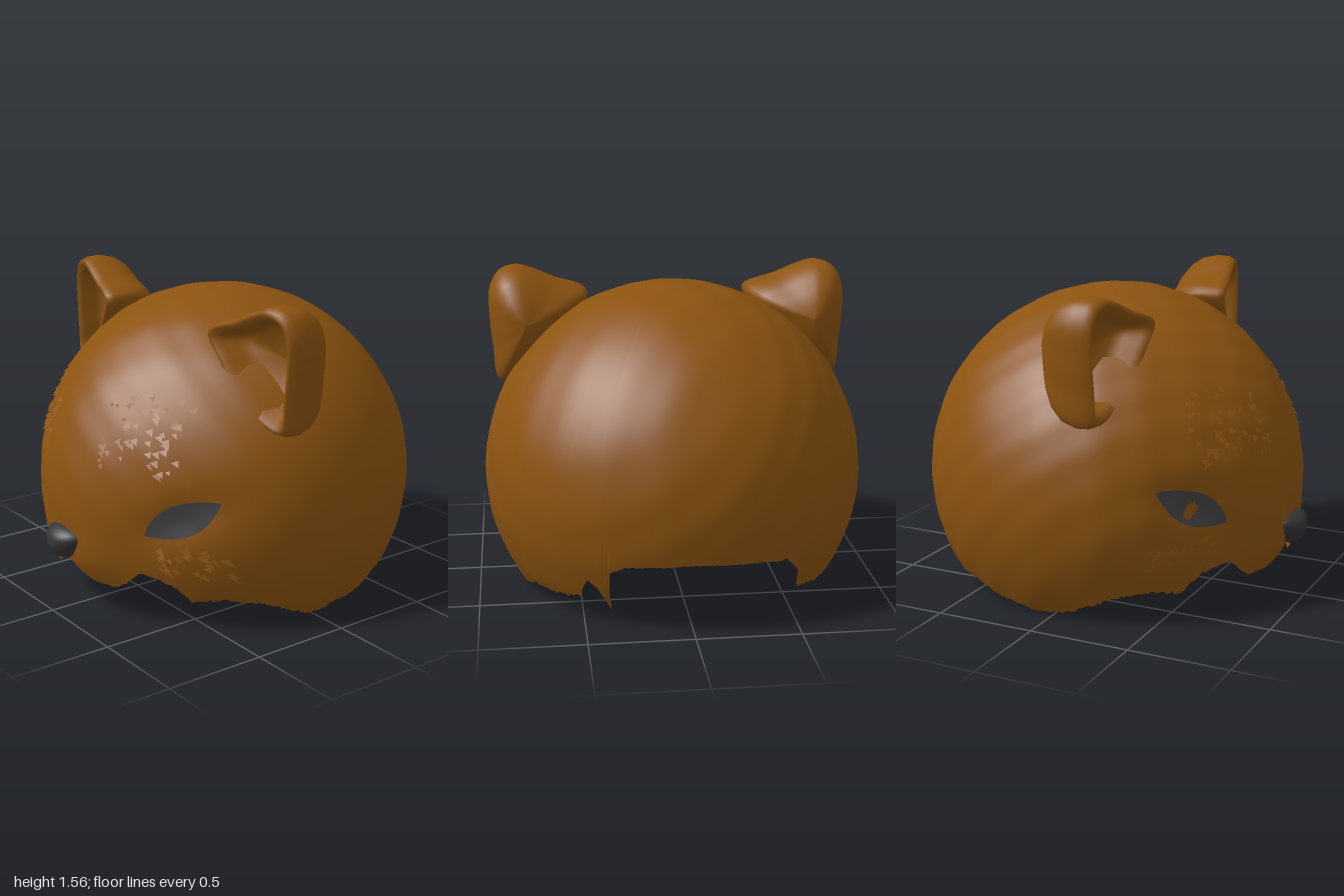
import * as THREE from 'three';

const fur = new THREE.MeshStandardMaterial({ color: 0x8c5310, side: THREE.DoubleSide });
fur.name = 'brown fur';
const noseMat = new THREE.MeshStandardMaterial({ color: 0x353536 });
noseMat.name = 'dark nose';
const eyeMat = new THREE.MeshStandardMaterial({ color: 0x454547, side: THREE.DoubleSide });
eyeMat.name = 'grey eye mesh';

const RX = 0.955, RY = 0.95, RZ = 0.97, CY = 0.55, CZ = -0.03;
const EYE = { x: 0.465, y: 0.485, ux: 0.827, uy: 0.562, length: 0.335 };

// Small seeded random generator
let seed = 7;
const rand = () => (seed = (seed * 16807) % 2147483647) / 2147483647;

// Point on the head for a unit direction, with sunken eyes and a soft muzzle
function skin(nx, ny, nz, lift = 0) {
  let k = 1 + lift;
  const x = Math.abs(nx * RX), y = CY + ny * RY;
  if (nz > 0) {
    const dx = x - EYE.x, dy = y - EYE.y;
    const s = (dx * EYE.ux + dy * EYE.uy - EYE.length / 2) / 0.17;
    const t = (dy * EYE.ux - dx * EYE.uy + 0.01) / 0.09;
    k -= 0.035 * Math.exp(-(s * s + t * t) * 0.9);
    k += 0.02 * Math.exp(-(((x - 0.15) / 0.12) ** 2 + ((y - 0.28) / 0.1) ** 2));
  }
  k += 0.003 * Math.sin(nx * 17 + ny * 11) * Math.sin(nz * 19 - ny * 13);
  const taper = nz > 0 ? 1 - 0.3 * nx * nx * (1 - nx * nx) : 1;
  return [nx * RX * k, CY + ny * RY * k, CZ + nz * RZ * taper * k];
}

// Point on the front of the head above a given x, y
function onFront(x, y, lift) {
  const nx = x / RX, ny = (y - CY) / RY;
  return skin(nx, ny, Math.sqrt(Math.max(0, 1 - nx * nx - ny * ny)), lift);
}

// Surface through rows of points; closed rows wrap around
function loft(rows, closed) {
  const n = rows[0].length, index = [];
  for (let j = 0; j < rows.length - 1; j++) {
    for (let i = 0; i < (closed ? n : n - 1); i++) {
      const a = j * n + i, b = j * n + (i + 1) % n;
      index.push(a, b, b + n, a, b + n, a + n);
    }
  }
  const g = new THREE.BufferGeometry();
  g.setAttribute('position', new THREE.Float32BufferAttribute(rows.flat(2), 3));
  g.setIndex(index);
  g.computeVertexNormals();
  return g;
}

// Height of the torn lower edge by angle from the front
const EDGE = [[0, 0.27], [4, 0.24], [10, 0.18], [18, 0.17], [22, 0.21], [27, 0.28], [33, 0.26],
  [37, 0.22], [42, 0.14], [55, 0.16], [65, 0.13], [75, 0.07], [83, 0.02], [90, 0.005], [100, 0.02],
  [112, 0.05], [120, 0.09], [135, 0.1], [143, 0.13], [147, 0.22], [150, 0.2], [153, 0.07],
  [155, 0.3], [160, 0.34], [180, 0.36]];
const EDGE_RIGHT = [[0, 0.36], [143, 0.13], [145, 0.24], [150, 0.31], [160, 0.34], [180, 0.36]];
function edgeHeight(deg) {
  const d = deg > 180 ? 360 - deg : deg;
  const table = deg > 180 && d > 143 ? EDGE_RIGHT : EDGE;
  const i = Math.max(1, table.findIndex((p) => p[0] >= d));
  const [a, ya] = table[i - 1], [b, yb] = table[i];
  const ragged = d > 35 && d < 153 ? 0.02 * rand() : 0.006 * rand();
  return Math.max(0, ya + (yb - ya) * (d - a) / (b - a) + ragged - 0.005);
}

function headShell() {
  const rows = [], cols = 360, steps = 56;
  const low = Array.from({ length: cols }, (_, i) => Math.asin((edgeHeight(i) - CY) / RY));
  for (let j = 0; j <= steps; j++) {
    rows.push(low.map((e0, i) => {
      const a = i * Math.PI / 180, e = e0 + (Math.PI / 2 - e0) * j / steps;
      return skin(Math.cos(e) * Math.sin(a), Math.sin(e), Math.cos(e) * Math.cos(a));
    }));
  }
  return loft(rows, true);
}

// Almond eye plate following the head
function eyePlate(side, lift) {
  const rows = [];
  for (let j = 0; j <= 8; j++) {
    const row = [];
    for (let i = 0; i <= 20; i++) {
      const s = EYE.length * i / 20;
      const w = (-0.085 + 0.155 * j / 8) * Math.sin(Math.PI * i / 20) ** 0.8;
      const p = onFront(EYE.x + s * EYE.ux - w * EYE.uy, EYE.y + s * EYE.uy + w * EYE.ux, lift);
      row.push([p[0] * side, p[1], p[2]]);
    }
    rows.push(side > 0 ? row : row.reverse());
  }
  return loft(rows, false);
}

// Cupped ear: rings run from the back, over the rim, into the hollow
function ear(side) {
  const outline = new THREE.CatmullRomCurve3([[0.41, 1.41], [0.58, 1.485], [0.7, 1.54], [0.78, 1.56],
    [0.86, 1.535], [0.91, 1.45], [0.913, 1.3], [0.9, 1.15], [0.87, 0.97], [0.74, 1.0], [0.6, 1.12],
    [0.48, 1.28]].map(([x, y]) => new THREE.Vector3(x, y, 0)), true).getPoints(72).slice(0, -1);
  const rings = [[0.02, -0.06], [0.3, -0.045], [0.55, -0.01], [0.78, 0.04], [0.93, 0.1], [1, 0.18],
    [0.99, 0.24], [0.94, 0.275], [0.86, 0.28], [0.77, 0.25], [0.7, 0.18], [0.6, 0.13], [0.02, 0.11]];
  return loft(rings.map(([s, z], j) => outline.map((p) => {
    const x = 0.73 + (p.x - 0.73) * s, y = 1.29 + (p.y - 1.29) * s;
    return [x * side, y, z + (j > 5 ? 0.22 : 0.1) * (0.85 - x)];
  })), true);
}

// Small raised fur flakes on brow and cheeks
function furFlakes() {
  const pos = [];
  const patch = (count, x0, x1, y0, y1) => {
    for (let i = 0; i < count; i++) {
      const side = i % 2 ? 1 : -1;
      const x = x0 + (x1 - x0) * rand(), y = y0 + (y1 - y0) * rand();
      const w = 0.008 + 0.012 * rand(), l = 0.03 + 0.04 * rand();
      for (const [dx, dy, lift] of [[-w, 0, -0.003], [l * 0.6, -l * 0.5, 0.012], [w, w, -0.003]]) {
        const p = onFront(x + dx, y + dy, lift);
        pos.push(p[0] * side, p[1], p[2]);
      }
    }
  };
  patch(110, 0.18, 0.55, 0.78, 1.12);
  patch(50, 0.5, 0.75, 0.3, 0.44);
  const g = new THREE.BufferGeometry();
  g.setAttribute('position', new THREE.Float32BufferAttribute(pos, 3));
  g.computeVertexNormals();
  return g;
}

// Rounded nose, broad on top and narrow below
function nose() {
  const g = new THREE.SphereGeometry(1, 32, 20), p = g.attributes.position;
  for (let i = 0; i < p.count; i++) {
    const y = p.getY(i);
    p.setXYZ(i, p.getX(i) * 0.135 * (0.87 + 0.35 * y), 0.365 + y * (y > 0 ? 0.075 : 0.1),
      0.9 + p.getZ(i) * 0.1);
  }
  g.computeVertexNormals();
  return g;
}

export function createModel() {
  seed = 7;
  const model = new THREE.Group();
  model.name = 'animalMask';
  const add = (name, geometry, material) => {
    const mesh = new THREE.Mesh(geometry, material);
    mesh.name = name;
    model.add(mesh);
  };
  add('headShell', headShell(), fur);
  add('furFlakes', furFlakes(), fur);
  add('nose', nose(), noseMat);
  for (const [name, side] of [['left', 1], ['right', -1]]) {
    add(name + 'Ear', ear(side), fur);
    add(name + 'Eye', eyePlate(side, 0.005), eyeMat);
    add(name + 'EyeInside', eyePlate(side, -0.005), eyeMat);
  }
  return model;
}
